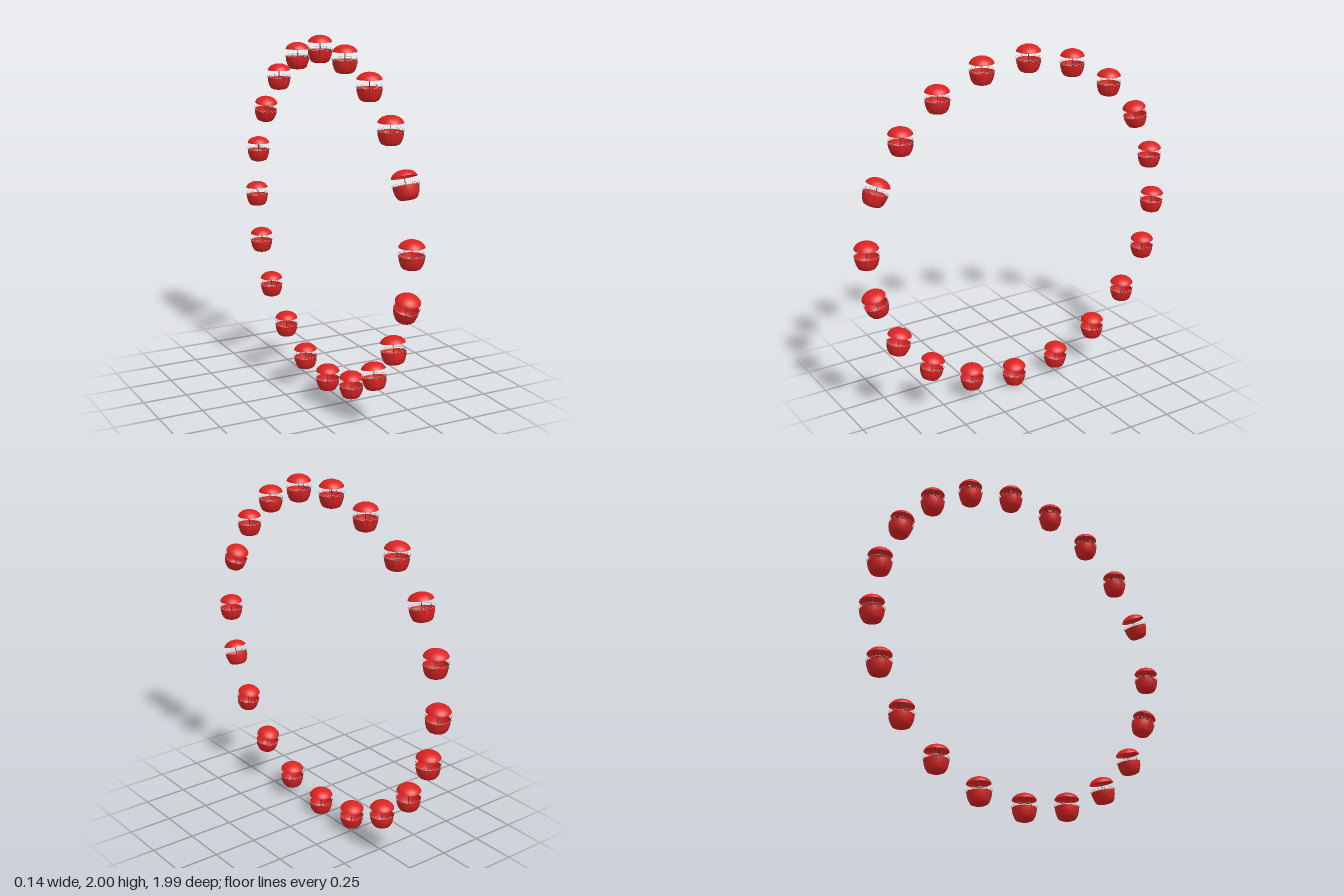
import * as THREE from 'three';

const RED = new THREE.MeshStandardMaterial({ color: 0xdd2222, side: THREE.DoubleSide });
const DARK = new THREE.MeshStandardMaterial({ color: 0x444444 });
const GREY = new THREE.MeshStandardMaterial({ color: 0xcccccc });

const COUNT = 20, RADIUS = 0.926, START = -67.6, STEP = 17.83;
// swing of the few cabins that hang off vertical, in degrees about x
const SWING = { 0: -21, 7: 11, 9: -3, 13: -3, 16: -12, 17: -10, 18: 17 };

const lathe = (points, sides) =>
  new THREE.LatheGeometry(points.map(([r, y]) => new THREE.Vector2(r, y)), sides);

// shallow domed canopy, hollow underneath
const canopyGeo = lathe([[0.066, 0.037], [0.064, 0.043], [0.057, 0.053], [0.045, 0.063],
  [0.025, 0.071], [0, 0.0745]], 32);
// round tub, open at the top
const tubGeo = lathe([[0, -0.0745], [0.034, -0.0745], [0.046, -0.069], [0.054, -0.056],
  [0.059, -0.04], [0.063, -0.026], [0.065, -0.006]], 32);
const poleGeo = new THREE.CylinderGeometry(0.002, 0.002, 0.143, 8);
const railGeo = new THREE.TorusGeometry(0.068, 0.0007, 4, 32).rotateX(Math.PI / 2);
const ribGeo = new THREE.TubeGeometry(new THREE.CatmullRomCurve3([
  new THREE.Vector3(0.046, -0.069, 0), new THREE.Vector3(0.0545, -0.056, 0),
  new THREE.Vector3(0.0635, -0.026, 0), new THREE.Vector3(0.0655, -0.006, 0),
  new THREE.Vector3(0.068, 0.004, 0)]), 8, 0.0007, 4);

function part(parent, name, geometry, material, y = 0) {
  const mesh = new THREE.Mesh(geometry, material);
  mesh.name = name;
  mesh.position.y = y;
  parent.add(mesh);
  return mesh;
}

function createCabin() {
  const cabin = new THREE.Group();
  cabin.name = 'cabin';
  part(cabin, 'canopy', canopyGeo, RED);
  part(cabin, 'tub', tubGeo, RED);
  part(cabin, 'centrePole', poleGeo, DARK);
  // thin hand rails just above the tub rim
  for (const y of [-0.003, 0.004]) part(cabin, 'rail', railGeo, GREY, y);
  // ribs down the side of the tub
  for (let i = 0; i < 12; i++) {
    part(cabin, 'rib', ribGeo, DARK).rotation.y = (i / 12) * Math.PI * 2;
  }
  return cabin;
}

export function createModel() {
  const wheel = new THREE.Group();
  wheel.name = 'cabinRing';
  // cabins hang upright around a vertical circle in the yz plane
  for (let i = 0; i < COUNT; i++) {
    const angle = THREE.MathUtils.degToRad(START + STEP * i);
    const cabin = createCabin();
    cabin.position.set(0, 1 + RADIUS * Math.cos(angle), -RADIUS * Math.sin(angle));
    cabin.rotation.x = THREE.MathUtils.degToRad(SWING[i] ?? 0);
    wheel.add(cabin);
  }
  return wheel;
}
